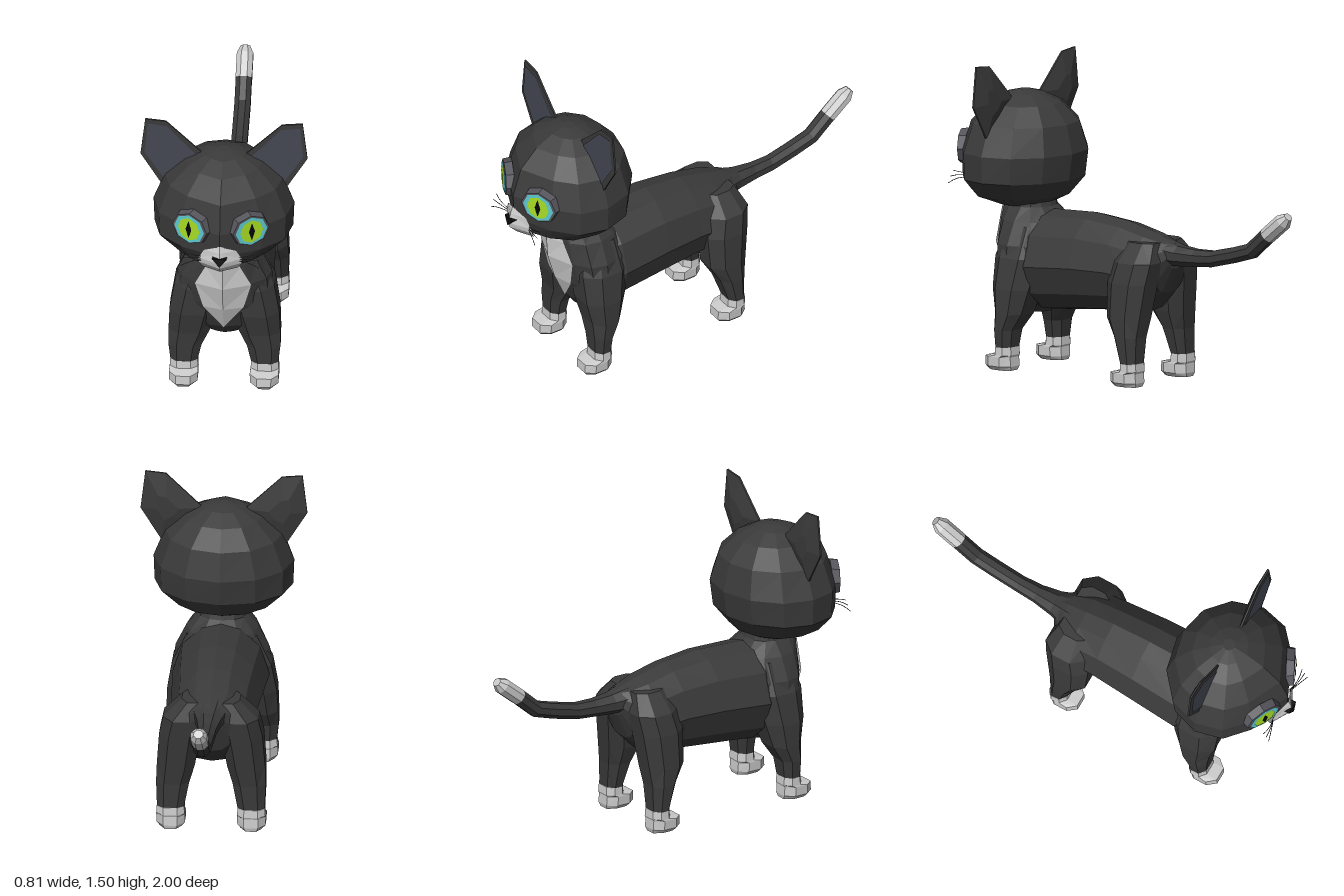
import * as THREE from 'three';

const V = (x, y, z) => new THREE.Vector3(x, y, z);
const mat = (color, side = THREE.FrontSide) =>
  new THREE.MeshStandardMaterial({ color, side, flatShading: true });
const fur = mat(0x3a3a3a), white = mat(0xcccccc), whitePatch = mat(0xcccccc, THREE.DoubleSide);
const black = mat(0x0c0c0c), earSkin = mat(0x444752, THREE.DoubleSide), lid = mat(0x55555c);

// Flat-shaded geometry from triangles
function fromTriangles(tris) {
  const geo = new THREE.BufferGeometry().setFromPoints(tris.flat());
  geo.computeVertexNormals();
  return geo;
}

// Closed skin over a row of rings, always turned outward
function loft(rings) {
  const tris = [], n = rings[0].length;
  const mid = r => r.reduce((s, p) => s.add(p), V(0, 0, 0)).divideScalar(n);
  const first = rings[0], last = rings[rings.length - 1], c0 = mid(first), c1 = mid(last);
  for (let i = 0; i < n; i++) {
    const j = (i + 1) % n;
    for (let k = 0; k < rings.length - 1; k++) {
      const a = rings[k], b = rings[k + 1];
      tris.push([a[i], a[j], b[j]], [a[i], b[j], b[i]]);
    }
    tris.push([c0, first[j], first[i]], [c1, last[i], last[j]]);
  }
  const o = c0;
  const volume = tris.reduce((s, [a, b, c]) =>
    s + a.clone().sub(o).dot(b.clone().sub(o).cross(c.clone().sub(o))), 0);
  return fromTriangles(volume < 0 ? tris.map(([a, b, c]) => [a, c, b]) : tris);
}

// Mirror half an outline (first and last points on the centre line)
const mirrorOutline = half =>
  [...half, ...half.slice(1, -1).reverse().map(([x, z]) => [-x, z])];

// Horizontal ring with its own front and back reach
const ROUND = mirrorOutline([[0, 1], [0.58, 0.72], [0.9, 0.42], [1, 0], [0.87, -0.5], [0.5, -0.87], [0, -1]]);
const flatRing = ([y, w, back, front], zm) =>
  ROUND.map(([x, z]) => V(x * w, y, zm + z * (z > 0 ? front - zm : zm - back)));

// Boxy octagon ring for legs and paws
const OCT = [[1, 0.45], [0.5, 1], [-0.5, 1], [-1, 0.45], [-1, -0.45], [-0.5, -1], [0.5, -1], [1, -0.45]];
const legRing = (s, [y, x, z, hx, hz]) => OCT.map(([u, v]) => V(s * (x + u * hx), y, z + v * hz));

// Patch bulging along a centre line: rows of [y, halfWidth, zCentre, zSide]
function patch(rows) {
  const tris = [];
  for (let k = 0; k < rows.length - 1; k++) {
    const [y0, x0, c0, s0] = rows[k], [y1, x1, c1, s1] = rows[k + 1];
    for (const s of [-1, 1]) {
      const a = V(0, y0, c0), b = V(0, y1, c1), c = V(s * x1, y1, s1), d = V(s * x0, y0, s0);
      tris.push(...(s > 0 ? [[a, b, c], [a, c, d]] : [[a, c, b], [a, d, c]]));
    }
  }
  return fromTriangles(tris.filter(([a, b, c]) => !a.equals(b) && !b.equals(c) && !a.equals(c)));
}

export function createModel() {
  const cat = new THREE.Group();
  cat.name = 'cat';
  const add = (name, geo, material, parent = cat) => {
    const mesh = new THREE.Mesh(geo, material);
    mesh.name = name;
    parent.add(mesh);
    return mesh;
  };

  // Head
  add('head', loft([
    [0.785, 0.12, 0.53, 0.80], [0.83, 0.24, 0.44, 0.92], [0.92, 0.335, 0.37, 0.96],
    [1.05, 0.34, 0.35, 0.965], [1.19, 0.285, 0.385, 0.92], [1.28, 0.19, 0.465, 0.83],
    [1.325, 0.10, 0.55, 0.74], [1.342, 0.03, 0.61, 0.67],
  ].map(r => flatRing(r, 0.64))), fur);

  // Chest and neck
  const chest = [
    [0.27, 0.07, 0.50, 0.61], [0.33, 0.19, 0.45, 0.655], [0.47, 0.245, 0.36, 0.715],
    [0.61, 0.228, 0.34, 0.755], [0.72, 0.175, 0.40, 0.762], [0.785, 0.12, 0.48, 0.768],
    [0.85, 0.11, 0.50, 0.75],
  ];
  add('chest', loft(chest.map(r => flatRing(r, 0.57))), fur);

  // Bib follows the chest surface just in front of it
  const bibWidth = [0, 0.10, 0.138, 0.085, 0.055];
  add('bib', patch(bibWidth.map((x, i) => {
    const [y, w, , front] = chest[i + 1];
    return [y, x, front + 0.01, front + 0.01 - (x / (0.58 * w)) * 0.28 * (front - 0.57)];
  })), whitePatch);

  // Barrel of the body: [z, halfWidth, top, bottom]
  const BARREL = mirrorOutline([[0, 1], [0.4, 0.9], [0.8, 0.55], [1, -0.05], [0.8, -0.6], [0.4, -0.93], [0, -1]]);
  add('body', loft([
    [0.60, 0.15, 0.73, 0.34], [0.46, 0.235, 0.775, 0.285], [0.20, 0.22, 0.785, 0.31],
    [0, 0.205, 0.765, 0.33], [-0.15, 0.20, 0.73, 0.34], [-0.25, 0.14, 0.70, 0.44],
    [-0.29, 0.07, 0.685, 0.56],
  ].map(([z, w, top, bottom]) => BARREL.map(([x, y]) =>
    V(x * w, (top + bottom) / 2 + y * (top - bottom) / 2, z)))), fur);

  // Legs and paws, mirrored
  const frontLeg = [
    [0.11, 0.195, 0.595, 0.065, 0.046], [0.20, 0.19, 0.592, 0.08, 0.054],
    [0.28, 0.17, 0.57, 0.10, 0.08], [0.40, 0.15, 0.565, 0.115, 0.11],
    [0.55, 0.12, 0.55, 0.12, 0.13], [0.70, 0.09, 0.54, 0.08, 0.10],
  ];
  const hindLeg = [
    [0.11, 0.195, -0.177, 0.065, 0.044], [0.24, 0.185, -0.157, 0.08, 0.068],
    [0.33, 0.17, -0.137, 0.092, 0.10], [0.50, 0.15, -0.145, 0.10, 0.115],
    [0.60, 0.13, -0.165, 0.10, 0.11], [0.69, 0.08, -0.16, 0.06, 0.08],
  ];
  const paw = [[0.115, 0, 0.066, 0.047], [0.076, 0, 0.068, 0.05], [0.066, 0.03, 0.07, 0.075],
    [0.02, 0.03, 0.068, 0.078], [0, 0.025, 0.05, 0.068]];
  for (const s of [1, -1]) {
    const side = s > 0 ? 'left' : 'right';
    for (const [name, leg] of [['Front', frontLeg], ['Hind', hindLeg]]) {
      add(side + name + 'Leg', loft(leg.map(r => legRing(s, r))), fur);
      const [, x, z] = leg[0];
      add(side + name + 'Paw', loft(paw.map(([y, dz, hx, hz]) => legRing(s, [y, x, z + dz, hx, hz]))), white);
    }
  }

  // Tail: [z, y, halfWidth, halfHeight, tilt]
  const tailRing = ([z, y, hx, hy, t]) => Array.from({ length: 8 }, (_, i) => {
    const a = (i + 0.5) * Math.PI / 4, u = Math.sin(a) * hy;
    return V(Math.cos(a) * hx, y + u * Math.cos(t), z + u * Math.sin(t));
  });
  add('tail', loft([
    [-0.22, 0.64, 0.10, 0.065, 0], [-0.32, 0.628, 0.065, 0.053, 0], [-0.42, 0.627, 0.047, 0.045, 0],
    [-0.52, 0.633, 0.042, 0.042, 0.1], [-0.65, 0.665, 0.042, 0.041, 0.28],
    [-0.76, 0.698, 0.042, 0.041, 0.5], [-0.86, 0.785, 0.042, 0.041, 0.72],
  ].map(tailRing)), fur);
  add('tailTip', loft([
    [-0.858, 0.783, 0.043, 0.042, 0.72], [-0.955, 0.862, 0.043, 0.042, 0.72],
    [-0.985, 0.887, 0.024, 0.022, 0.72],
  ].map(tailRing)), white);

  // Ears: thin shells with a ridged back and a dark inner panel
  const earOuter = [[0.10, 1.31], [0.28, 1.487], [0.38, 1.497], [0.403, 1.30], [0.30, 1.13], [0.18, 1.2]];
  const earInner = [[0.12, 1.29], [0.275, 1.462], [0.368, 1.475], [0.383, 1.31], [0.285, 1.16], [0.19, 1.22]];
  const earRing = (s, pts, z) => pts.map(([x, y]) => V(s * x, y, z));
  for (const s of [1, -1]) {
    const side = s > 0 ? 'left' : 'right';
    const ridge = earOuter.map(([x, y]) => [0.28 + (x - 0.28) * 0.35, 1.31 + (y - 1.31) * 0.35]);
    add(side + 'Ear', loft([earRing(s, ridge, 0.612), earRing(s, earOuter, 0.636), earRing(s, earOuter, 0.645)]), fur);
    const panel = add(side + 'InnerEar', new THREE.ShapeGeometry(
      new THREE.Shape(earInner.map(([x, y]) => new THREE.Vector2(s * x, y)))), earSkin);
    panel.position.z = 0.65;

    // Eye: lid ring, iris layers and slit pupil, turned with the face
    const eye = new THREE.Group();
    eye.name = side + 'Eye';
    eye.position.set(s * 0.14, 1.053, 0.9);
    eye.rotation.y = s * 0.47;
    cat.add(eye);
    const rim = new THREE.CylinderGeometry(0.93, 1, 0.04, 8).rotateX(Math.PI / 2).scale(0.103, 0.09, 1);
    add(side + 'EyeRim', rim, lid, eye);
    [['OuterIris', 0x5cc9d2, 0.083, 0.077, 8], ['InnerIris', 0xa8de24, 0.06, 0.063, 8], ['Pupil', 0x050505, 0.016, 0.05, 4]]
      .forEach(([name, color, rx, ry, n], i) => {
        const layer = add(side + name, new THREE.CircleGeometry(1, n).scale(rx, ry, 1), mat(color), eye);
        layer.position.z = 0.0235 + i * 0.003;
      });

    // Whiskers
    [[0.905, 0.935, 0.935], [0.895, 0.905, 0.95], [0.885, 0.87, 0.965]].forEach(([y0, y1, z1], i) => {
      const path = new THREE.QuadraticBezierCurve3(
        V(s * 0.08, y0, 0.93), V(s * 0.13, y0 + 0.015, 0.95), V(s * 0.19, y1, z1));
      add(side + 'Whisker' + (i + 1), new THREE.TubeGeometry(path, 4, 0.0018, 3), black);
    });
  }

  // Muzzle and nose
  add('muzzle', patch([
    [0.987, 0, 0.967, 0.967], [0.952, 0.078, 0.98, 0.94], [0.90, 0.106, 0.992, 0.93],
    [0.872, 0.106, 0.985, 0.925], [0.83, 0.085, 0.945, 0.90], [0.81, 0.05, 0.91, 0.885],
  ]), whitePatch);
  add('nose', loft([0.955, 0.998].map(z => [V(-0.035, 0.928, z - 0.008), V(0.035, 0.928, z - 0.008), V(0, 0.888, z)])), black);

  return cat;
}
